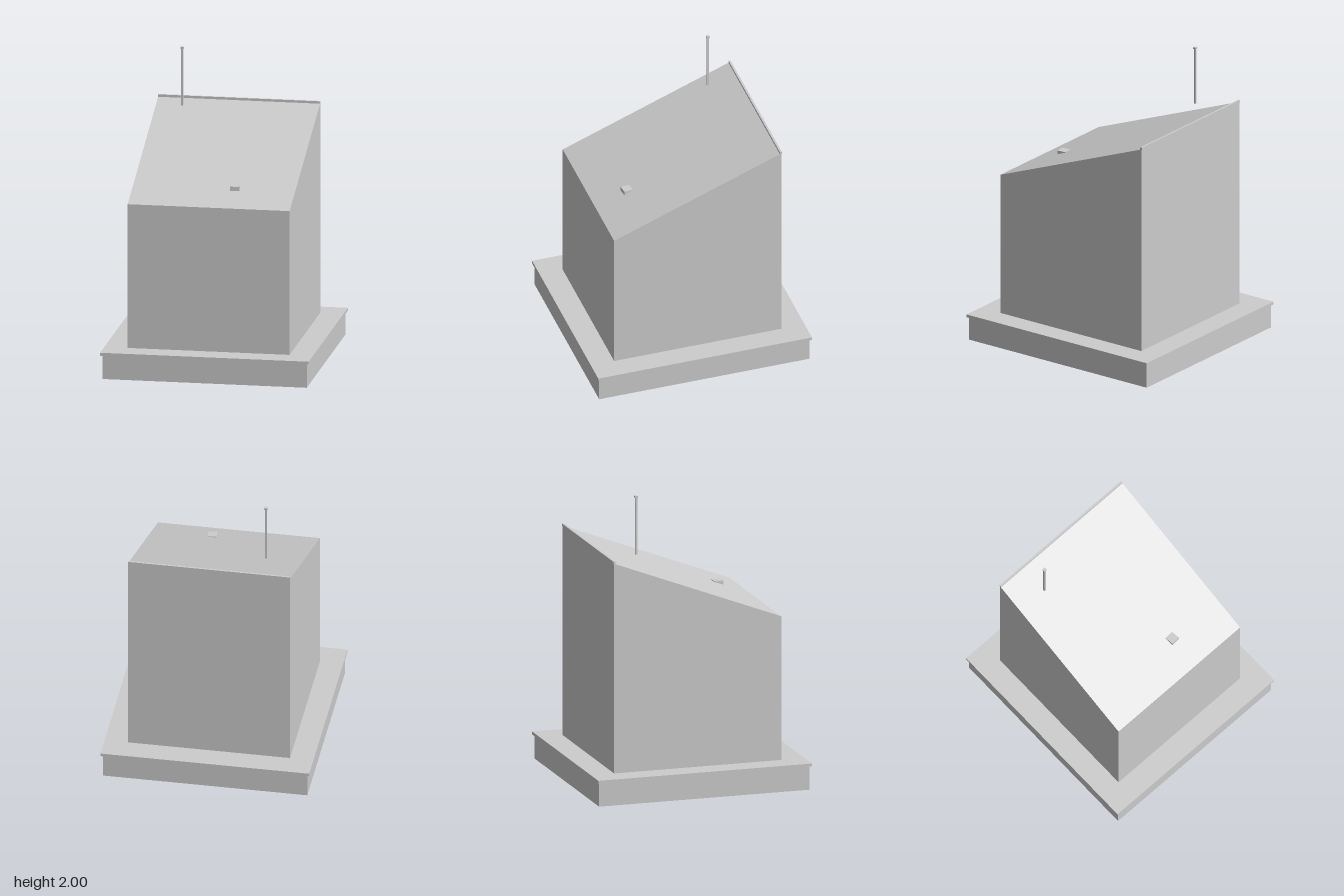
import * as THREE from 'three';

export function createModel() {
  const model = new THREE.Group();
  model.name = 'slopedRoofBuilding';
  const grey = new THREE.MeshStandardMaterial({ color: 0xcccccc, side: THREE.DoubleSide });
  grey.name = 'plain grey';

  function add(name, geometry, x = 0, y = 0, z = 0) {
    const mesh = new THREE.Mesh(geometry, grey);
    mesh.name = name;
    mesh.position.set(x, y, z);
    model.add(mesh);
    return mesh;
  }
  // Box given by its size and the height of its underside
  const box = (name, w, h, d, x, y, z) =>
    add(name, new THREE.BoxGeometry(w, h, d), x, y + h / 2, z);

  // Podium: thin walls and a deck, open underneath
  const podiumX = 0.682, podiumZ = 0.729, podiumTop = 0.18;
  const podium = new THREE.BoxGeometry(podiumX * 2, podiumTop, podiumZ * 2);
  const faces = Array.from(podium.index.array);
  faces.splice(18, 6); // drop the underside
  podium.setIndex(faces);
  podium.clearGroups();
  add('podium', podium, 0, podiumTop / 2, 0);

  // Rim around the top edge of the podium
  const rimX = 0.697, rimZ = 0.74;
  const rectangle = (C, hx, hz) => new C([
    new THREE.Vector2(-hx, -hz), new THREE.Vector2(hx, -hz),
    new THREE.Vector2(hx, hz), new THREE.Vector2(-hx, hz),
  ]);
  const rimShape = rectangle(THREE.Shape, rimX, rimZ);
  rimShape.holes.push(rectangle(THREE.Path, podiumX, podiumZ));
  const rim = new THREE.ExtrudeGeometry(rimShape, { depth: 0.02, bevelEnabled: false });
  rim.rotateX(-Math.PI / 2);
  add('podiumRim', rim, 0, podiumTop - 0.02, 0);

  // Main block: side profile with a roof falling to the front
  const halfX = 0.541, halfZ = 0.579;
  const profile = new THREE.Shape([
    new THREE.Vector2(-halfZ, podiumTop), new THREE.Vector2(halfZ, podiumTop),
    new THREE.Vector2(halfZ, 1.155), new THREE.Vector2(-halfZ, 1.603),
  ]);
  const block = new THREE.ExtrudeGeometry(profile, { depth: halfX * 2, bevelEnabled: false });
  block.rotateY(-Math.PI / 2);
  add('mainBlock', block, halfX, 0, 0);

  // Capping strip along the high rear edge
  box('roofCapping', halfX * 2, 0.016, 0.014, 0, 1.6, -0.576);

  // Mast with a small square cap
  box('mast', 0.012, 0.39, 0.012, -0.343, 1.602, -0.361);
  box('mastCap', 0.021, 0.012, 0.021, -0.343, 1.988, -0.361);

  // Small roof unit, slightly turned
  box('roofUnit', 0.061, 0.028, 0.061, 0.138, 1.228, 0.359).rotation.y = 0.09;

  return model;
}
